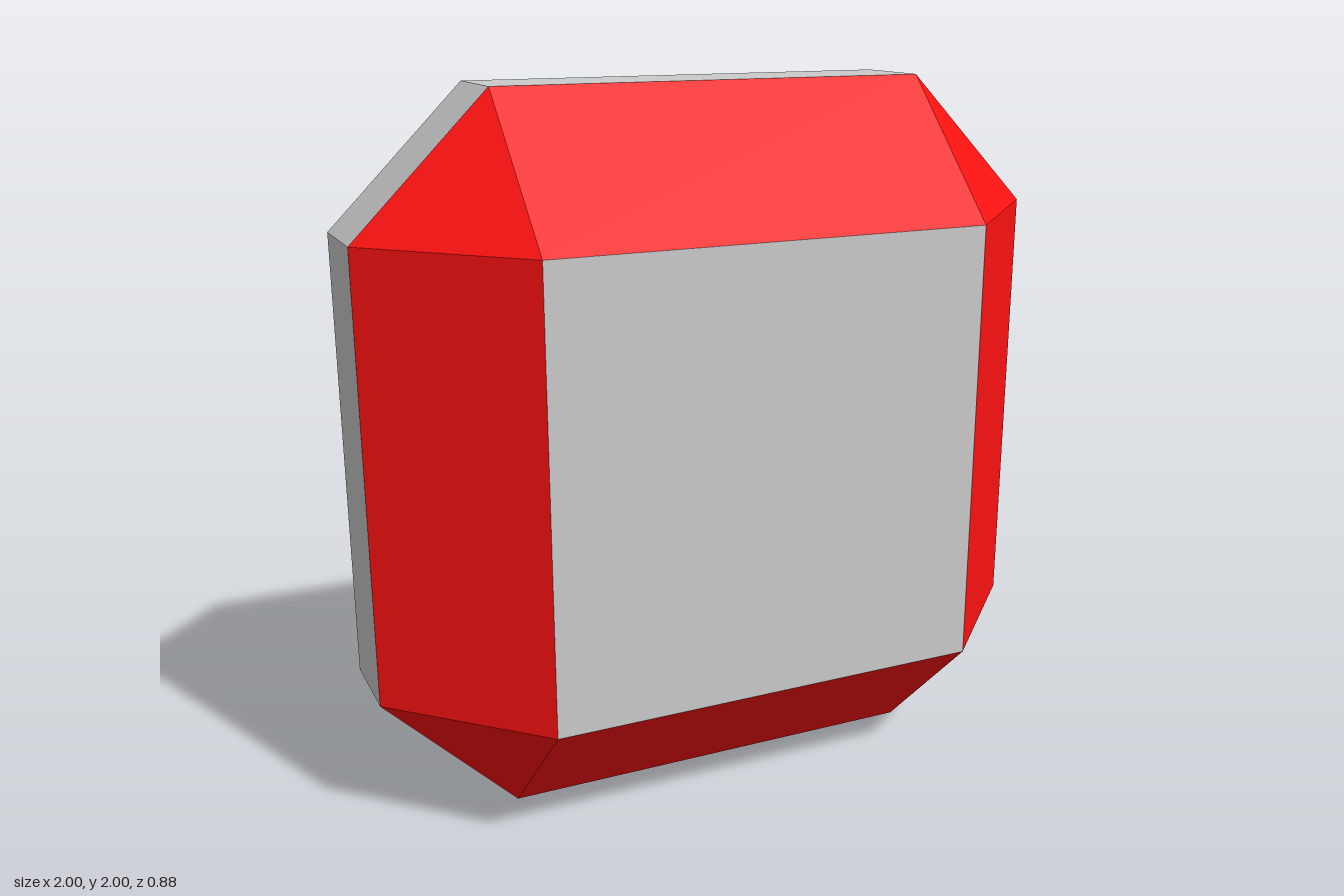
import * as THREE from 'three';

const OUTER = 1;       // half width of the slab
const INNER = 0.625;   // half width of the front panel and back block
const Z_BACK = -0.4375, Z_SLAB = -0.1875, Z_RIM = 0.0625, Z_FRONT = 0.4375;

const grey = new THREE.MeshStandardMaterial({ color: 0xcccccc, flatShading: true });
const red = new THREE.MeshStandardMaterial({ color: 0xff1111, flatShading: true });

function addPart(group, name, geometry, material, z = 0) {
  const mesh = new THREE.Mesh(geometry, material);
  mesh.name = name;
  mesh.position.z = z;
  group.add(mesh);
  return mesh;
}

// One flat facet from corners listed counter-clockwise as seen from outside
function facet(corners) {
  const geometry = new THREE.BufferGeometry().setFromPoints(corners);
  geometry.setIndex(corners.length === 4 ? [0, 1, 2, 0, 2, 3] : [0, 1, 2]);
  const flat = geometry.toNonIndexed();
  flat.computeVertexNormals();
  return flat;
}

export function createModel() {
  const model = new THREE.Group();
  model.name = 'bevelledButton';
  const body = new THREE.Group();
  body.position.y = OUTER;
  model.add(body);

  // Octagonal slab
  const outline = new THREE.Shape([
    [INNER, -OUTER], [OUTER, -INNER], [OUTER, INNER], [INNER, OUTER],
    [-INNER, OUTER], [-OUTER, INNER], [-OUTER, -INNER], [-INNER, -OUTER],
  ].map(([x, y]) => new THREE.Vector2(x, y)));
  const slab = new THREE.ExtrudeGeometry(outline, { depth: Z_RIM - Z_SLAB, bevelEnabled: false });
  addPart(body, 'slab', slab, grey, Z_SLAB);

  // Square block on the back
  const depth = Z_SLAB - Z_BACK;
  addPart(body, 'backBlock', new THREE.BoxGeometry(2 * INNER, 2 * INNER, depth), grey, Z_BACK + depth / 2);

  // Square front panel
  addPart(body, 'frontPanel', new THREE.PlaneGeometry(2 * INNER, 2 * INNER), grey, Z_FRONT);

  // Coloured bevel: a sloping side and a corner triangle, repeated around the panel
  const v = (x, y, z) => new THREE.Vector3(x, y, z);
  const side = facet([
    v(OUTER, -INNER, Z_RIM), v(OUTER, INNER, Z_RIM),
    v(INNER, INNER, Z_FRONT), v(INNER, -INNER, Z_FRONT),
  ]);
  const corner = facet([v(OUTER, INNER, Z_RIM), v(INNER, OUTER, Z_RIM), v(INNER, INNER, Z_FRONT)]);
  ['Left', 'Top', 'Right', 'Bottom'].forEach((label, i) => {
    addPart(body, `bevelSide${label}`, side, red).rotation.z = i * Math.PI / 2;
    addPart(body, `bevelCorner${i + 1}`, corner, red).rotation.z = i * Math.PI / 2;
  });

  return model;
}
